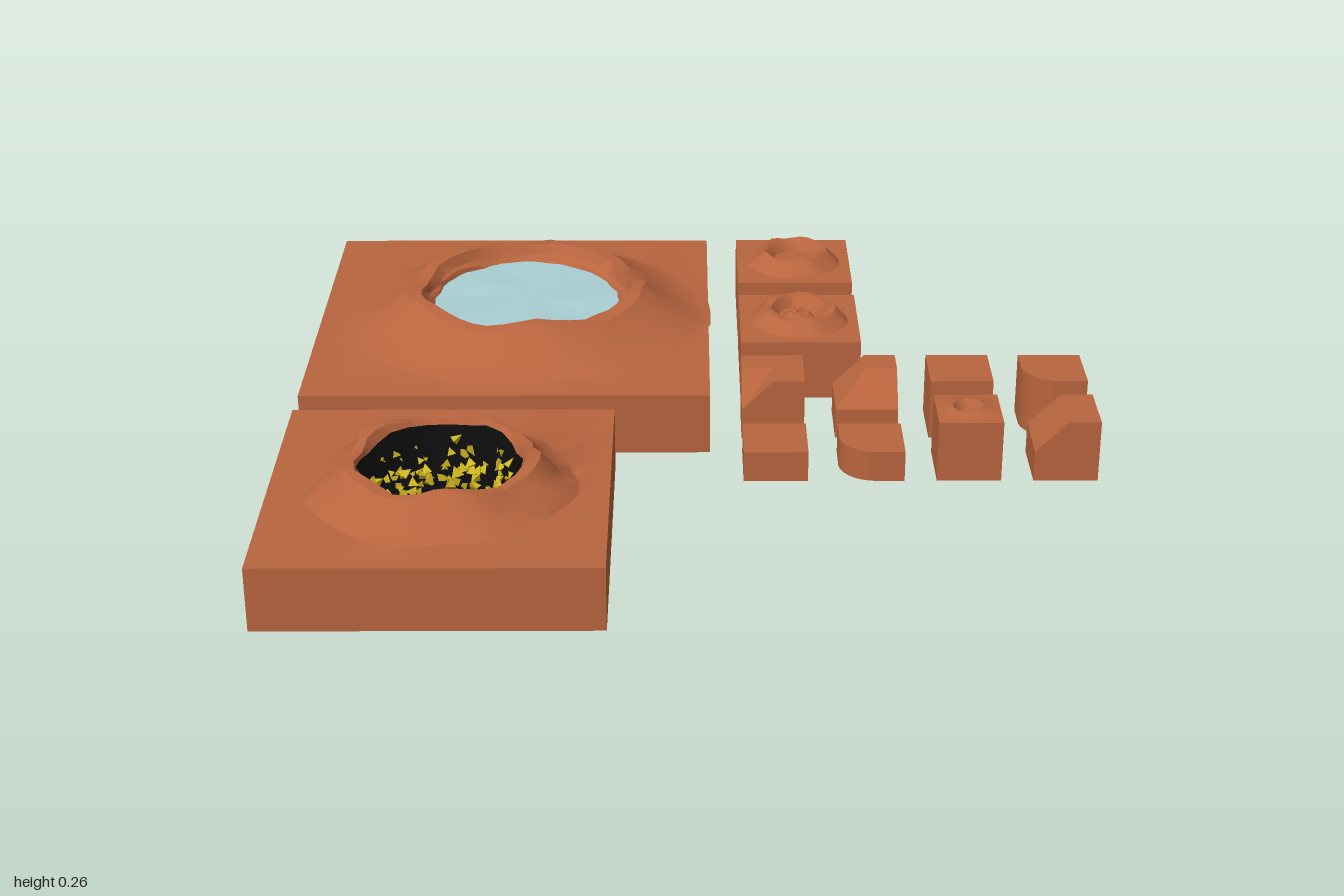
import * as THREE from 'three';
import { toCreasedNormals } from 'three/addons/utils/BufferGeometryUtils.js';

const TOP = 0.16, HALF = 0.08;
const mat = (color) => new THREE.MeshStandardMaterial({ color, side: THREE.DoubleSide });
const flat = (color) => new THREE.MeshStandardMaterial({ color, flatShading: true });

function makeRandom(seed) {
  return () => {
    seed = (seed * 16807) % 2147483647;
    return seed / 2147483647;
  };
}

// Joins rings of points (inner to outer) into one surface
function loft(rings) {
  const n = rings[0].length, index = [];
  for (let j = 0; j < rings.length - 1; j++) {
    for (let i = 0; i < n; i++) {
      const a = j * n + i, b = j * n + (i + 1) % n;
      index.push(a, b, a + n, b, b + n, a + n);
    }
  }
  const geo = new THREE.BufferGeometry();
  geo.setAttribute('position', new THREE.Float32BufferAttribute(rings.flat(2), 3));
  geo.setIndex(index);
  return toCreasedNormals(geo, 0.5);
}

// Wobbly ring; height above the plate varies with the same wobble
function ring(cx, cz, r, y, segs, rough, rand) {
  const p1 = rand() * 0.8, p2 = rand() * 0.8;
  return Array.from({ length: segs }, (_, i) => {
    const a = (i / segs) * Math.PI * 2;
    const w = 0.5 * Math.sin(3 * a + p1) + 0.35 * Math.sin(7 * a + p2) + 0.9 * (rand() - 0.5);
    const rr = r * (1 + rough * w);
    const h = y > TOP ? TOP + (y - TOP) * (1 + rough * 2 * Math.sin(5 * a + p2 + p1)) : y;
    return [cx + Math.cos(a) * rr, h, cz + Math.sin(a) * rr];
  });
}

// Square plate whose top carries a crater given as [radius, height] steps
function craterTile({ x, z, half, cx = x, cz = z, profile, segs, rough, seed }) {
  const rand = makeRandom(seed);
  const rings = profile.map(([r, y]) => ring(cx, cz, r, y, segs, rough, rand));
  const edge = (y) => Array.from({ length: segs }, (_, i) => {
    const a = (i / segs) * Math.PI * 2, c = Math.cos(a), s = Math.sin(a);
    const k = half / Math.max(Math.abs(c), Math.abs(s));
    return [x + c * k, y, z + s * k];
  });
  rings.push(edge(TOP), edge(0), Array.from({ length: segs }, () => [x, 0, z]));
  return loft(rings);
}

// Block with chosen top corners dropped to half height
function slopedBlock(isLow) {
  const geo = new THREE.BoxGeometry(TOP, TOP, TOP, 2, 1, 2);
  const p = geo.attributes.position;
  for (let i = 0; i < p.count; i++) {
    if (p.getY(i) > 0 && isLow(p.getX(i) < -0.01, p.getZ(i) > 0.01)) p.setY(i, 0);
  }
  return geo.translate(0, HALF, 0);
}

// Block with its front right corner rounded off
function roundedBlock(height) {
  const h = HALF, r = 0.09;
  const shape = new THREE.Shape();
  shape.moveTo(h, -h);
  shape.lineTo(h, h);
  shape.lineTo(-h, h);
  shape.lineTo(-h, -h + r);
  shape.absarc(-h + r, -h + r, r, Math.PI, Math.PI * 1.5, false);
  const geo = new THREE.ExtrudeGeometry(shape, { depth: height, bevelEnabled: false, curveSegments: 10 });
  return toCreasedNormals(geo.rotateX(-Math.PI / 2), 0.5);
}

const plainBlock = (height) => new THREE.BoxGeometry(TOP, height, TOP).translate(0, height / 2, 0);

export function createModel() {
  const model = new THREE.Group();
  const soil = mat(0xb9653e), soilFlat = flat(0xb9653e);
  const add = (name, geo, material, x = 0, z = 0, parent = model) => {
    const mesh = new THREE.Mesh(geo, material);
    mesh.name = name;
    mesh.position.set(x, 0, z);
    parent.add(mesh);
    return mesh;
  };

  // Large plate with the flooded crater
  add('lakeCraterTile', craterTile({
    x: -0.48, z: -0.442, half: 0.518, cx: -0.45, cz: -0.44, segs: 40, rough: 0.05, seed: 11,
    profile: [[0, 0.19], [0.235, 0.19], [0.25, 0.215], [0.262, 0.222], [0.275, 0.248],
      [0.31, 0.245], [0.35, 0.215], [0.4, 0.188], [0.45, 0.166], [0.48, 0.16]],
  }), soil);
  const rand = makeRandom(5);
  add('water', loft([
    ring(-0.45, -0.44, 0, 0.208, 16, 0, rand),
    ring(-0.45, -0.44, 0.13, 0.206, 16, 0.06, rand),
    ring(-0.45, -0.44, 0.255, 0.206, 16, 0.02, rand),
  ]), mat(0xa9cfd3));

  // Medium plate with the dark pit
  add('pitCraterTile', craterTile({
    x: -0.6, z: 0.555, half: 0.4, cx: -0.595, cz: 0.55, segs: 40, rough: 0.06, seed: 29,
    profile: [[0, 0.13], [0.15, 0.13], [0.19, 0.215], [0.2, 0.235], [0.225, 0.234],
      [0.255, 0.202], [0.28, 0.182], [0.315, 0.16]],
  }), soil);
  add('pitLining', loft([
    ring(-0.595, 0.55, 0, 0.148, 24, 0, rand),
    ring(-0.595, 0.55, 0.14, 0.15, 24, 0.04, rand),
    ring(-0.595, 0.55, 0.19, 0.222, 24, 0.06, rand),
  ]), mat(0x0b0b0b));

  // Yellow crystals scattered over the pit floor
  const crystals = new THREE.Group();
  crystals.name = 'crystals';
  model.add(crystals);
  const shard = new THREE.TetrahedronGeometry(0.016), yellow = flat(0xcdb51f);
  for (let i = 0; i < 110; i++) {
    const a = rand() * Math.PI * 2, r = 0.175 * Math.sqrt(rand());
    const m = add('crystal', shard, yellow, -0.595 + Math.cos(a) * r, 0.55 + Math.sin(a) * r, crystals);
    m.position.y = 0.154 + Math.max(0, r - 0.14) * 1.2;
    m.rotation.set(rand() * 6, rand() * 6, rand() * 6);
    m.scale.setScalar(0.6 + rand() * 0.7);
  }

  // Two small plates: a bowl crater and a crater with a central peak
  add('bowlCraterTile', craterTile({
    x: 0.28, z: -0.802, half: 0.158, cx: 0.283, cz: -0.805, segs: 24, rough: 0.07, seed: 47,
    profile: [[0, 0.165], [0.058, 0.165], [0.072, 0.188], [0.085, 0.198], [0.1, 0.185], [0.128, 0.16]],
  }), soil);
  add('peakCraterTile', craterTile({
    x: 0.28, z: -0.403, half: 0.158, segs: 32, rough: 0.05, seed: 83,
    profile: [[0, 0.182], [0.028, 0.18], [0.042, 0.164], [0.055, 0.167], [0.075, 0.195],
      [0.095, 0.195], [0.115, 0.175], [0.13, 0.16]],
  }), soil);

  // Small building blocks in two rows
  const xs = [0.2, 0.44, 0.68, 0.92], back = -0.085, front = 0.155;
  add('innerCornerSlope', slopedBlock((l, f) => l && f), soilFlat, xs[0], back);
  add('outerCornerSlope', slopedBlock((l, f) => l || f), soilFlat, xs[1], back);
  add('fullBlock', plainBlock(TOP), soilFlat, xs[2], back);
  add('roundedFullBlock', roundedBlock(TOP), soil, xs[3], back);
  add('halfBlock', plainBlock(HALF), soilFlat, xs[0], front);
  add('roundedHalfBlock', roundedBlock(HALF), soil, xs[1], front);
  add('smallCraterBlock', craterTile({
    x: xs[2], z: front, half: HALF, segs: 16, rough: 0.06, seed: 61,
    profile: [[0, 0.148], [0.026, 0.148], [0.04, 0.17], [0.048, 0.168], [0.066, 0.16]],
  }), soil);
  add('straightSlope', slopedBlock((l) => l), soilFlat, xs[3], front);

  return model;
}
